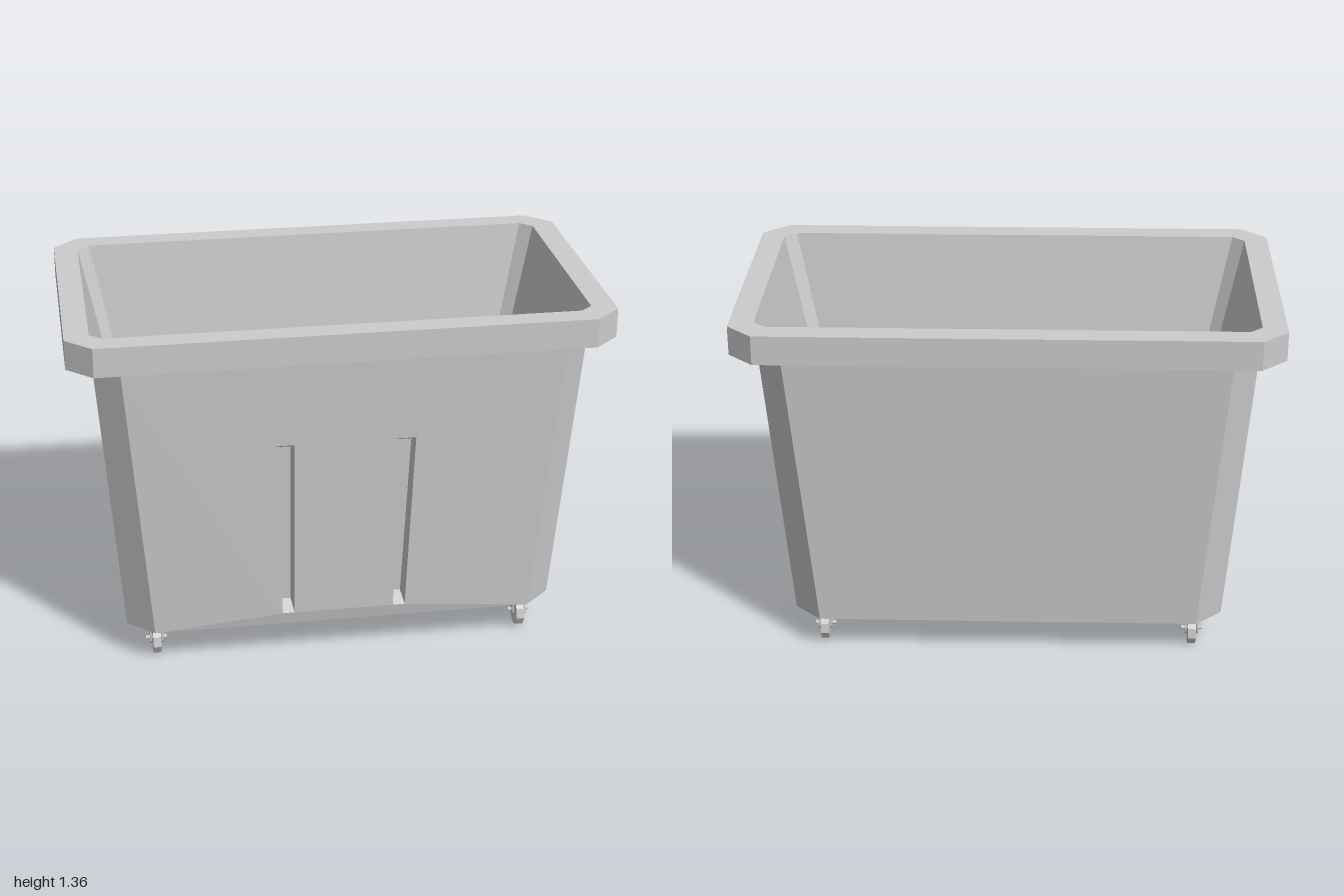
import * as THREE from 'three';

const material = new THREE.MeshStandardMaterial({ color: 0xcccccc, flatShading: true });

const BASE = 0.14, NECK = 1.24;

// Chamfered rectangle at height y: half sizes x, z and where the chamfer starts, cx, cz
function ring(y, x, cx, z, cz) {
  return [[cx, z], [x, cz], [x, -cz], [cx, -z], [-cx, -z], [-x, -cz], [-x, cz], [-cx, z]]
    .map(([px, pz]) => new THREE.Vector3(px, y, pz));
}

// Flat-shaded geometry from triangles listed as points
function fromTriangles(points) {
  const g = new THREE.BufferGeometry().setFromPoints(points);
  g.computeVertexNormals();
  return g;
}

// Quads between two matching outlines, optionally leaving one side open
function loft(out, a, b, skip = -1) {
  a.forEach((p, i) => {
    if (i === skip) return;
    const j = (i + 1) % a.length;
    out.push(p, a[j], b[j], p, b[j], b[i]);
  });
}

// Closes a convex outline
function cap(out, r, flip) {
  for (let i = 1; i < r.length - 1; i++) {
    if (flip) out.push(r[0], r[i + 1], r[i]);
    else out.push(r[0], r[i], r[i + 1]);
  }
}

function add(parent, geometry, name, x = 0, y = 0, z = 0) {
  const mesh = new THREE.Mesh(geometry, material);
  mesh.name = name;
  mesh.position.set(x, y, z);
  parent.add(mesh);
  return mesh;
}

// Sloping front face, pushed out slightly at the foot of the slots
const frontZ = (y) => 0.45 + (y - BASE) * (0.517 - 0.45) / (NECK - BASE)
  + (Math.abs(y - 0.19) < 0.001 ? 0.008 : 0);

// Tapered slot outline, counterclockwise from the front
function slotOutline(side, inset, rise) {
  const pts = [[0.19 + inset, 0.19 + rise], [0.235 - inset, 0.19 + rise],
    [0.26 - inset, 0.91 - rise], [0.19 + inset, 0.91 - rise]];
  return side > 0 ? pts : pts.map(([x, y]) => [-x, y]).reverse();
}

function makeCaster() {
  const caster = new THREE.Group();
  caster.name = 'caster';
  add(caster, new THREE.BoxGeometry(0.08, 0.012, 0.08), 'mountingPlate', 0, 0.134, 0);
  add(caster, new THREE.CylinderGeometry(0.02, 0.02, 0.016, 12), 'swivel', 0, 0.122, 0);
  add(caster, new THREE.BoxGeometry(0.05, 0.007, 0.046), 'forkBridge', 0, 0.117, 0);

  // Fork cheeks with rounded lower ends
  const cheek = new THREE.Shape();
  cheek.moveTo(-0.023, 0.12);
  cheek.lineTo(-0.023, 0.063);
  cheek.absarc(0, 0.063, 0.023, Math.PI, Math.PI * 2, false);
  cheek.lineTo(0.023, 0.12);
  const cheekGeo = new THREE.ExtrudeGeometry(cheek, { depth: 0.006, bevelEnabled: false, curveSegments: 8 });
  cheekGeo.rotateY(Math.PI / 2);
  for (const x of [-0.025, 0.019]) add(caster, cheekGeo, 'forkCheek', x);

  const wheel = new THREE.CylinderGeometry(0.056, 0.056, 0.03, 9);
  wheel.rotateZ(Math.PI / 2);
  wheel.rotateX(0.15);
  add(caster, wheel, 'wheel', 0, 0.056, 0);
  const axle = new THREE.CylinderGeometry(0.008, 0.008, 0.08, 8);
  axle.rotateZ(Math.PI / 2);
  add(caster, axle, 'axle', 0, 0.063, 0);
  return caster;
}

export function createModel() {
  const model = new THREE.Group();
  model.name = 'wheeledBin';

  // Rings from the outer base, over the rim and down to the inner floor
  const base = ring(BASE, 0.82, 0.72, 0.45, 0.357);
  const neck = ring(NECK, 0.905, 0.81, 0.517, 0.427);
  const rimLow = ring(1.255, 1, 0.905, 0.57, 0.48);
  const rimTop = ring(1.365, 1, 0.905, 0.57, 0.48);
  const mouth = ring(1.365, 0.91, 0.865, 0.48, 0.44);
  const floor = ring(0.2, 0.66, 0.63, 0.352, 0.325);

  const shell = [];
  cap(shell, base, true);
  loft(shell, base, neck, 7); // side 7 is the front panel below
  add(model, fromTriangles(shell), 'outerShell');

  const rim = [];
  loft(rim, neck, rimLow);
  loft(rim, rimLow, rimTop);
  loft(rim, rimTop, mouth);
  add(model, fromTriangles(rim), 'rim');

  const liner = [];
  loft(liner, mouth, floor);
  cap(liner, floor, false);
  add(model, fromTriangles(liner), 'innerLiner');

  // Front panel with two slot openings
  const toVec2 = ([x, y]) => new THREE.Vector2(x, y);
  const panel = new THREE.Shape([[-0.72, BASE], [0.72, BASE], [0.81, NECK], [-0.81, NECK]].map(toVec2));
  for (const side of [-1, 1]) panel.holes.push(new THREE.Path(slotOutline(side, 0, 0).map(toVec2)));
  const panelGeo = new THREE.ShapeGeometry(panel);
  const pos = panelGeo.attributes.position;
  for (let i = 0; i < pos.count; i++) pos.setZ(i, frontZ(pos.getY(i)));
  panelGeo.computeVertexNormals();
  add(model, panelGeo, 'frontPanel');

  // Recessed pockets behind the openings
  for (const side of [-1, 1]) {
    const front = slotOutline(side, 0, 0).map(([x, y]) => new THREE.Vector3(x, y, frontZ(y)));
    const back = slotOutline(side, 0.007, 0.03).map(([x, y]) => new THREE.Vector3(x, y, frontZ(y) - 0.055));
    const pocket = [];
    loft(pocket, front, back);
    cap(pocket, back, false);
    add(model, fromTriangles(pocket), 'slotPocket');
  }

  // Casters under the four corners
  for (const x of [-0.71, 0.71]) {
    for (const z of [-0.345, 0.345]) {
      const caster = makeCaster();
      caster.position.set(x, 0, z);
      model.add(caster);
    }
  }
  return model;
}
